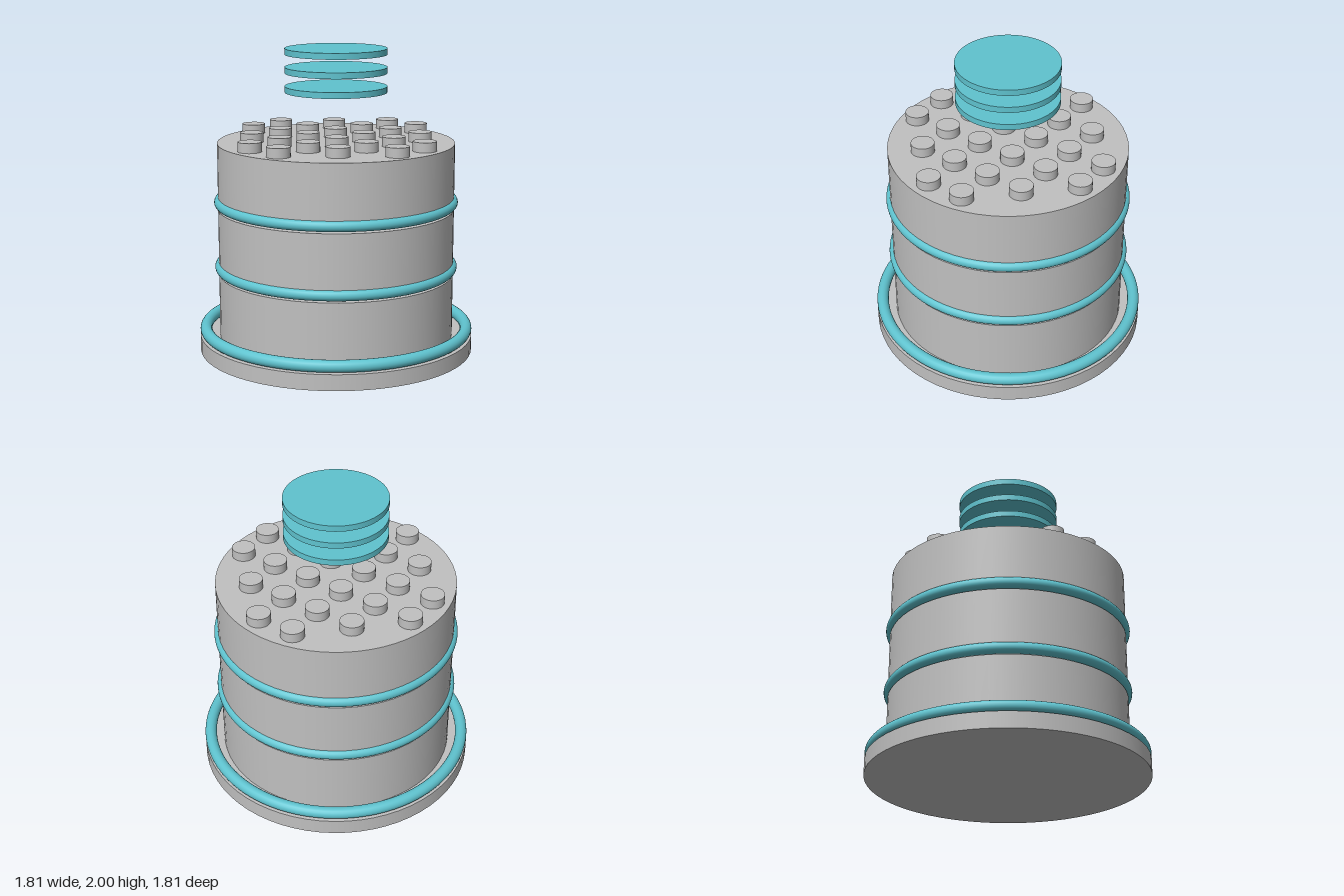
import * as THREE from 'three';

export function createModel() {
  const model = new THREE.Group();
  const grey = new THREE.MeshStandardMaterial({ color: 0xc0c0c0 });
  grey.name = 'light grey';
  const teal = new THREE.MeshStandardMaterial({ color: 0x5fc3cf });
  teal.name = 'teal';

  const add = (name, geometry, material, x, y, z) => {
    const mesh = new THREE.Mesh(geometry, material);
    mesh.name = name;
    mesh.position.set(x, y, z);
    model.add(mesh);
  };
  // Upright cylinder placed by its bottom and top heights
  const disc = (name, radius, bottom, top, material, x = 0, z = 0, sides = 64) =>
    add(name, new THREE.CylinderGeometry(radius, radius, top - bottom, sides), material, x, (bottom + top) / 2, z);
  // Horizontal ring
  const ring = (name, radius, tube, y) =>
    add(name, new THREE.TorusGeometry(radius, tube, 20, 96).rotateX(Math.PI / 2), teal, 0, y, 0);

  // Base plate and its ring
  disc('basePlate', 0.905, 0, 0.105, grey);
  ring('baseRing', 0.866, 0.039, 0.146);

  // Three stacked drums with narrow gaps, the upper two with a ring near the bottom
  for (let i = 0; i < 3; i++) {
    const top = 0.52 + i * 0.435;
    disc('drum', 0.775, top - 0.42, top, grey);
    if (i > 0) ring('drumRing', 0.765, 0.035, top - 0.39);
  }

  // Studs on a square grid, leaving out the corners
  const steps = [-0.647, -0.388, -0.129, 0.129, 0.388, 0.647];
  for (const x of steps) {
    for (const z of steps) {
      if (Math.hypot(x, z) < 0.7) disc('stud', 0.076, 1.39, 1.453, grey, x, z, 32);
    }
  }

  // Floating discs above the top
  for (const top of [1.755, 1.879, 2]) disc('floatingDisc', 0.333, top - 0.04, top, teal);

  return model;
}
